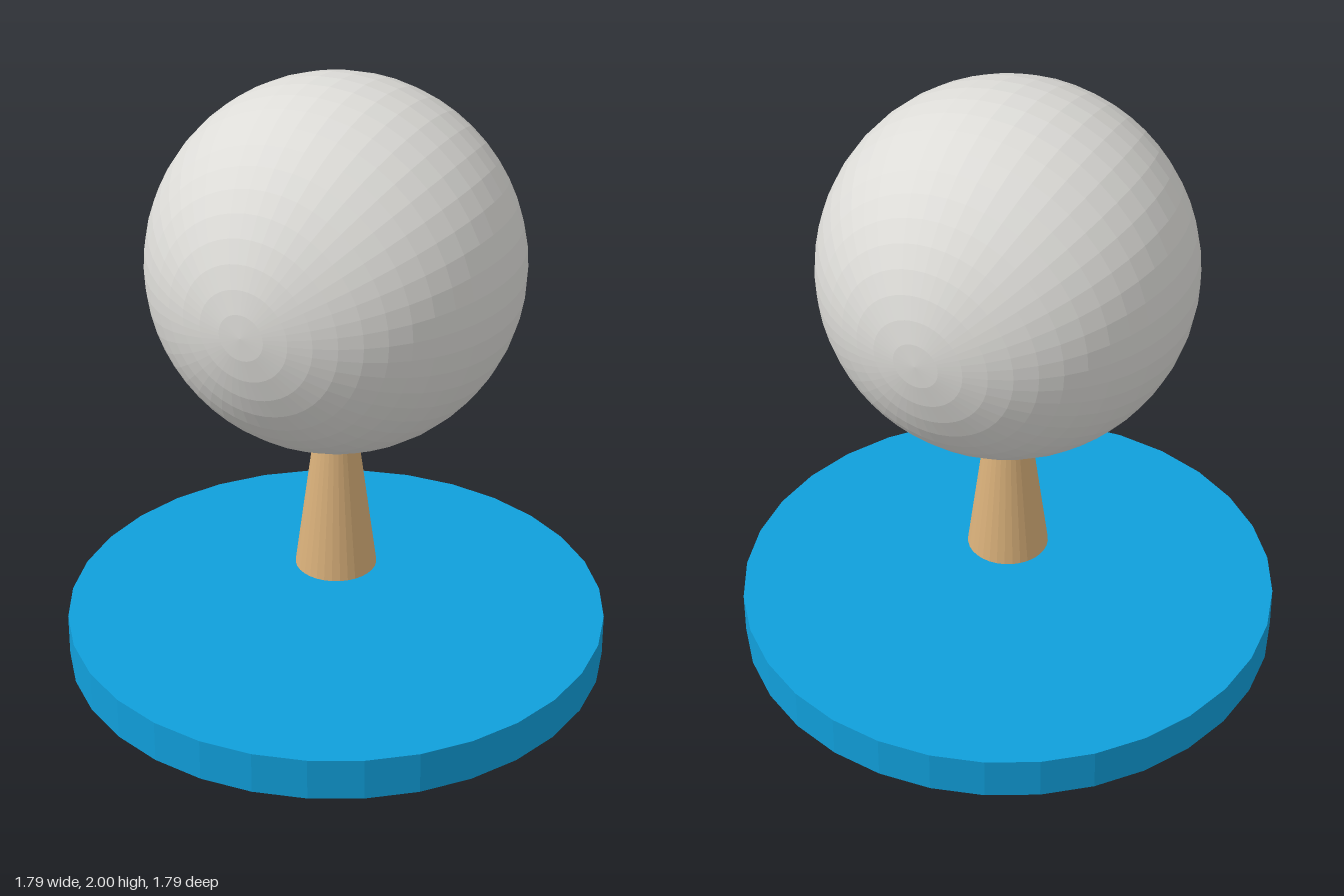
import * as THREE from 'three';

export function createModel() {
  const model = new THREE.Group();
  const material = (name, color) => {
    const m = new THREE.MeshStandardMaterial({ color, flatShading: true });
    m.name = name;
    return m;
  };
  const add = (name, geometry, mat, y) => {
    const mesh = new THREE.Mesh(geometry, mat);
    mesh.name = name;
    mesh.position.y = y;
    model.add(mesh);
    return mesh;
  };

  // Flat round base, standing on the ground
  add('base', new THREE.CylinderGeometry(0.894, 0.894, 0.142, 32), material('blue', 0x109fdb), 0.071);

  // Tapered stem, floating above the base and ending just inside the ball
  const bottom = 0.31, top = 0.83;
  add('stem', new THREE.CylinderGeometry(0.066, 0.134, top - bottom, 32),
    material('tan', 0xd9b07a), (top + bottom) / 2);

  // Faceted ball with its poles facing front and back
  const ball = new THREE.SphereGeometry(0.6, 48, 25);
  ball.rotateX(Math.PI / 2);
  add('ball', ball, material('lightGrey', 0xdddcd8), 1.4);

  return model;
}
